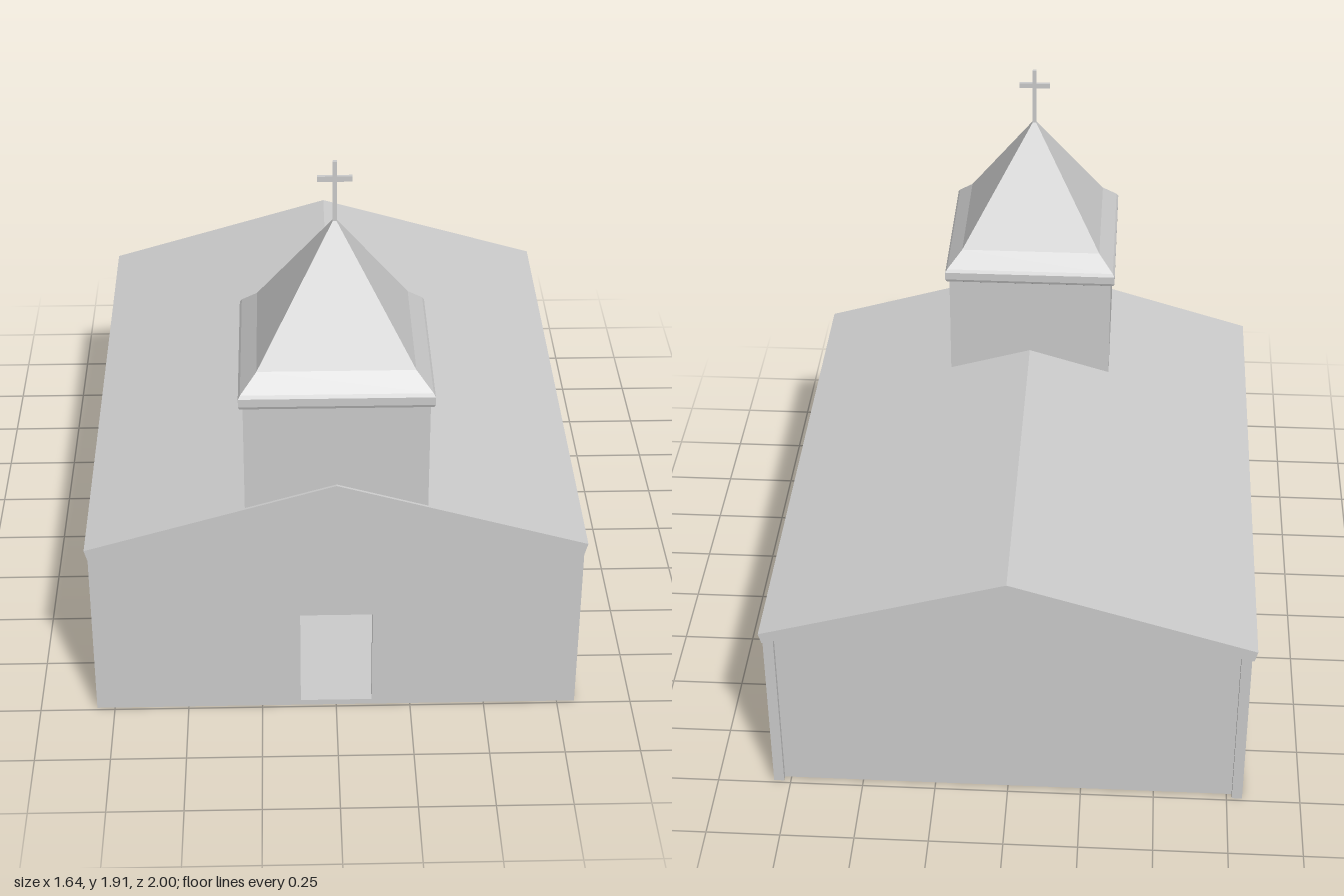
import * as THREE from 'three';

const mat = new THREE.MeshStandardMaterial({ color: 0xcccccc, flatShading: true });

function add(group, name, geometry, x = 0, y = 0, z = 0) {
  const mesh = new THREE.Mesh(geometry, mat);
  mesh.name = name;
  mesh.position.set(x, y, z);
  group.add(mesh);
  return mesh;
}

const box = (w, h, d) => new THREE.BoxGeometry(w, h, d);
const outline = (pts) => new THREE.Shape(pts.map(([x, y]) => new THREE.Vector2(x, y)));

// Extrudes an x-y shape from z0 to z1
function slab(shape, z0, z1) {
  const g = new THREE.ExtrudeGeometry(shape, { depth: z1 - z0, bevelEnabled: false });
  return g.translate(0, 0, z0);
}

// Gable outline: half width, base height, eave height, ridge height
const gable = (w, base, eave, ridge) =>
  outline([[-w, base], [w, base], [w, eave], [0, ridge], [-w, eave]]);

export function createModel() {
  const church = new THREE.Group();
  church.name = 'church';

  // Hollow nave: floor, side walls, front wall with open doorway, recessed back wall
  const nave = new THREE.Group();
  nave.name = 'nave';
  church.add(nave);
  add(nave, 'floor', box(1.6, 0.02, 1.94), 0, 0.01, 0);

  const front = gable(0.81, 0, 0.63, 0.865);
  front.holes.push(new THREE.Path(
    [[-0.12, 0.02], [-0.12, 0.38], [0.12, 0.38], [0.12, 0.02]].map(([x, y]) => new THREE.Vector2(x, y))));
  add(nave, 'frontWall', slab(front, 0.955, 0.99));
  add(nave, 'backWall', slab(gable(0.775, 0, 0.64, 0.865), -0.97, -0.94));
  add(nave, 'leftWall', box(0.035, 0.635, 1.945), 0.7905, 0.3175, -0.0175);
  add(nave, 'rightWall', box(0.035, 0.635, 1.945), -0.7855, 0.3175, -0.0175);

  // Pitched roof of constant thickness
  const roof = outline([
    [-0.82, 0.66], [-0.81, 0.622], [0, 0.86], [0.81, 0.622], [0.82, 0.66], [0, 0.902],
  ]);
  add(church, 'roof', slab(roof, -0.997, 0.997));

  // Bell tower, its base notched to sit astride the ridge
  const tower = new THREE.Group();
  tower.name = 'tower';
  tower.position.z = 0.693;
  church.add(tower);
  const shaft = outline([[-0.295, 0.8], [0, 0.885], [0.295, 0.8], [0.295, 1.2], [-0.295, 1.2]]);
  add(tower, 'towerWalls', slab(shaft, -0.295, 0.295));

  // Four-sided spire with a rounded eave and a flared foot
  const profile = [
    [0, 1.192], [0.297, 1.192], [0.305, 1.197], [0.309, 1.207], [0.309, 1.235],
    [0.302, 1.246], [0.25, 1.3], [0, 1.71],
  ].map(([half, y]) => new THREE.Vector2(half * Math.SQRT2, y));
  const spire = new THREE.LatheGeometry(profile, 4).rotateY(Math.PI / 4);
  add(tower, 'spire', spire);

  // Cross
  add(tower, 'crossPost', box(0.014, 0.215, 0.012), 0, 1.798, 0);
  add(tower, 'crossArm', box(0.11, 0.018, 0.012), 0, 1.846, 0);

  return church;
}
